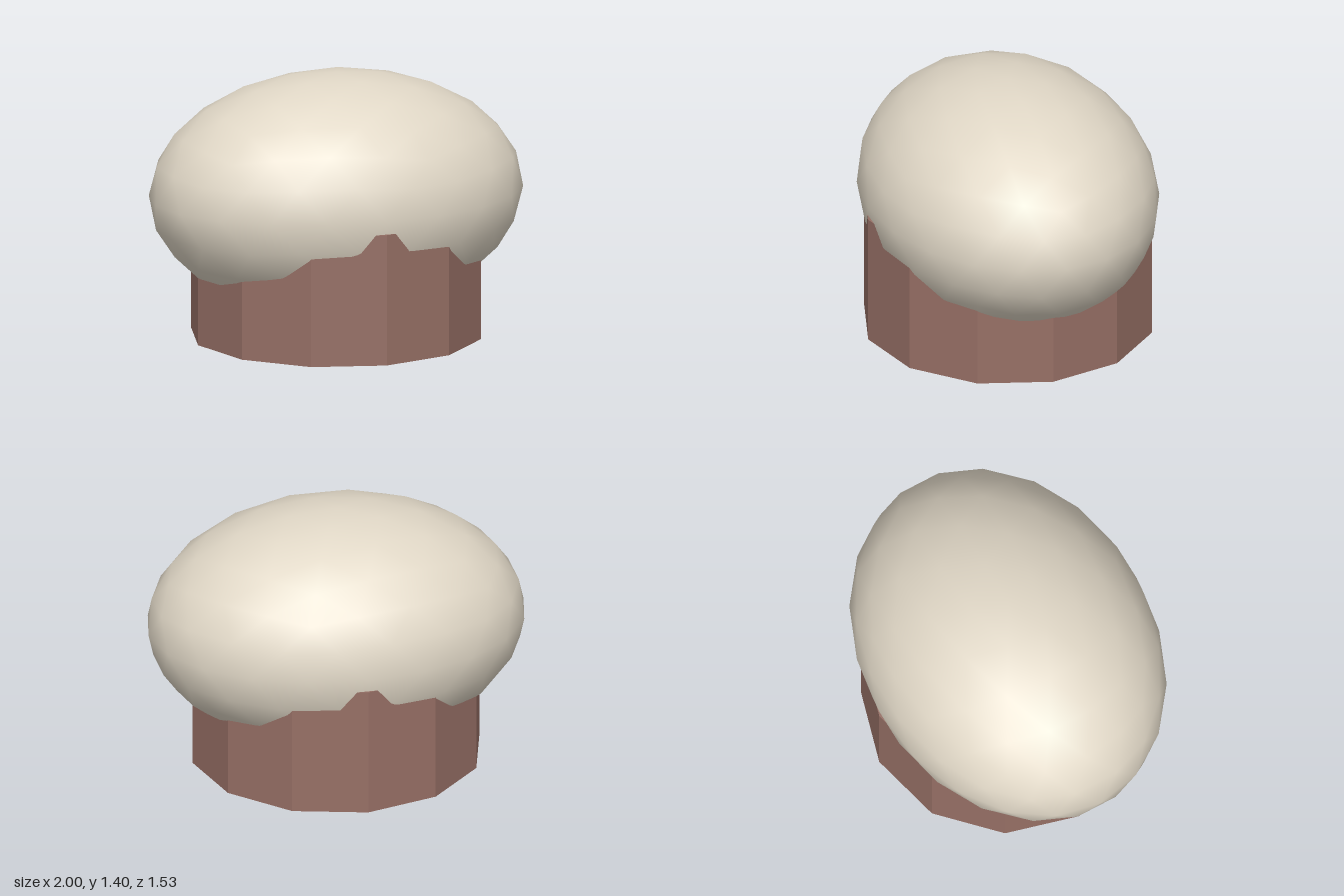
import * as THREE from 'three';

const BASE_RADIUS = 0.765;
const BASE_HEIGHT = 0.697;
const CAP_SIZE = [1, 0.634, 0.765];
const CAP_CENTRE_Y = 0.765;

// Unit icosahedron standing on a corner, subdivided into a smooth sphere
function uprightIcosphere(detail) {
  const h = 1 / Math.sqrt(5), r = 2 / Math.sqrt(5);
  const corners = [0, 1, 0];
  const ring = (y, start) => {
    for (let i = 0; i < 5; i++) {
      const a = start + (i * Math.PI * 2) / 5;
      corners.push(r * Math.cos(a), y, -r * Math.sin(a));
    }
  };
  ring(h, 0); // corners 1-5
  ring(-h, Math.PI / 5); // corners 6-10
  corners.push(0, -1, 0); // corner 11

  const faces = [];
  for (let i = 0; i < 5; i++) {
    const n = (i + 1) % 5;
    const up = 1 + i, upNext = 1 + n, low = 6 + i, lowNext = 6 + n;
    faces.push(0, up, upNext, up, low, upNext, low, lowNext, upNext, 11, lowNext, low);
  }
  return new THREE.PolyhedronGeometry(corners, faces, 1, detail);
}

export function createModel() {
  const cream = new THREE.MeshStandardMaterial({ color: 0xe0d7c6 });
  cream.name = 'cream';
  const brown = new THREE.MeshStandardMaterial({ color: 0x966f65, flatShading: true });
  brown.name = 'brown';

  const group = new THREE.Group();
  group.name = 'mushroom';

  // Twelve-sided stem
  const stem = new THREE.Mesh(
    new THREE.CylinderGeometry(BASE_RADIUS, BASE_RADIUS, BASE_HEIGHT, 12), brown);
  stem.name = 'stem';
  stem.position.y = BASE_HEIGHT / 2;
  group.add(stem);

  // Wide, squashed cap sunk into the stem
  const capGeometry = uprightIcosphere(3);
  capGeometry.scale(...CAP_SIZE);
  const cap = new THREE.Mesh(capGeometry, cream);
  cap.name = 'cap';
  cap.position.y = CAP_CENTRE_Y;
  group.add(cap);

  return group;
}
